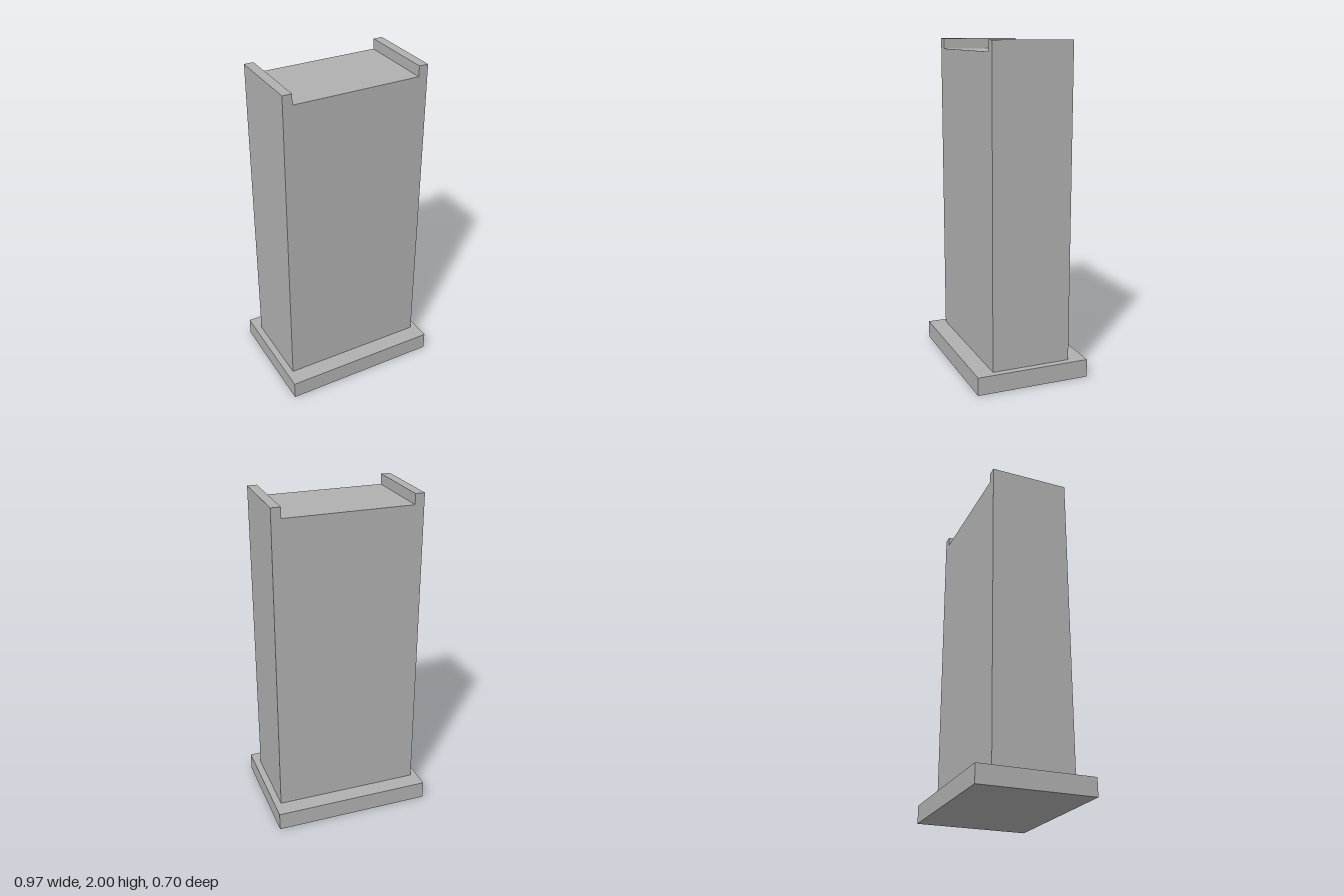
import * as THREE from 'three';

export function createModel() {
  const model = new THREE.Group();
  model.name = 'pedestal';
  const grey = new THREE.MeshStandardMaterial({ color: 0xb0b0b0 });
  grey.name = 'plain grey';

  // Wide, low foot plate
  const baseHeight = 0.11;
  const base = new THREE.Mesh(new THREE.BoxGeometry(0.97, baseHeight, 0.7), grey);
  base.name = 'base';
  base.position.y = baseHeight / 2;
  model.add(base);

  // Tall column with a raised lip along each side of its top
  const outer = 0.444, inner = 0.387, top = 2, deck = 1.937, depth = 0.486;
  const profile = new THREE.Shape([
    [-outer, baseHeight], [outer, baseHeight], [outer, top], [inner, top],
    [inner, deck], [-inner, deck], [-inner, top], [-outer, top],
  ].map(([x, y]) => new THREE.Vector2(x, y)));
  const geometry = new THREE.ExtrudeGeometry(profile, { depth, bevelEnabled: false });
  geometry.translate(0, 0, -depth / 2);
  const column = new THREE.Mesh(geometry, grey);
  column.name = 'column';
  model.add(column);

  return model;
}
